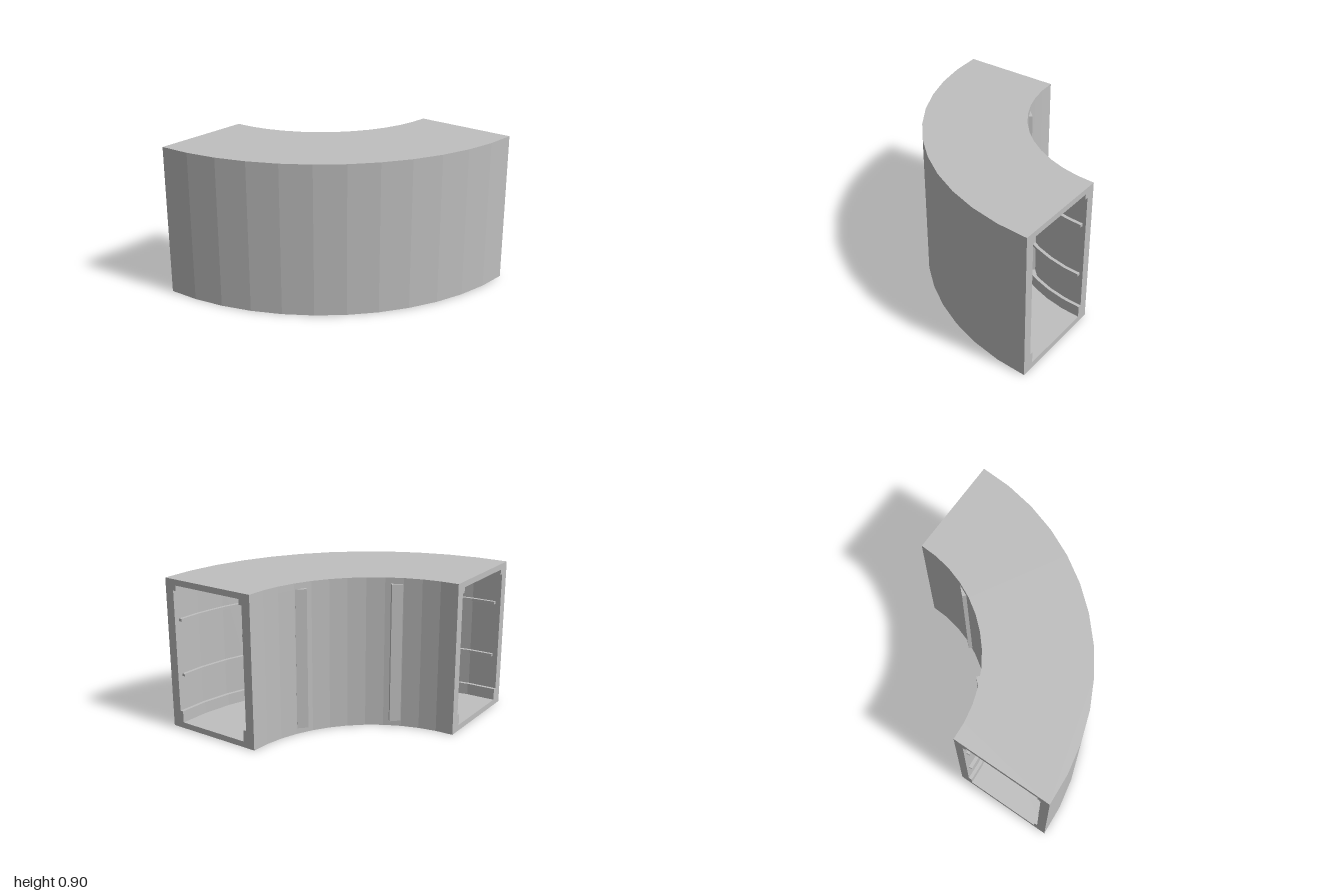
import * as THREE from 'three';

const CZ = -0.995;          // centre of the bend in z
const HALF = Math.PI / 4;   // half of the 90 degree sweep
const STEPS = 12;

const grey = new THREE.MeshStandardMaterial({ color: 0xbfbfbf, flatShading: true });
grey.name = 'plain grey';

// Plan outline (x, z) extruded upward from y0 to y1
function slab(name, pts, y0, y1) {
  const shape = new THREE.Shape(pts.map(([x, z]) => new THREE.Vector2(x, -z)));
  const geo = new THREE.ExtrudeGeometry(shape, { depth: y1 - y0, bevelEnabled: false });
  geo.rotateX(-Math.PI / 2).translate(0, y0, 0);
  const mesh = new THREE.Mesh(geo, grey);
  mesh.name = name;
  return mesh;
}

// Points along an arc about the bend centre, from -x to +x
function arc(r, inset = 0) {
  const pts = [];
  for (let i = 0; i <= STEPS; i++) {
    const a = THREE.MathUtils.clamp(-HALF + (2 * HALF * i) / STEPS, -HALF + inset, HALF - inset);
    pts.push([r * Math.sin(a), CZ + r * Math.cos(a)]);
  }
  return pts;
}

const band = (name, r0, r1, y0, y1, inset = 0) =>
  slab(name, [...arc(r0, inset), ...arc(r1, inset).reverse()], y0, y1);

export function createModel() {
  const group = new THREE.Group();
  group.name = 'curvedDuct';
  const R0 = 0.807, R1 = 1.414, WALL = 0.055, STEP = 0.02;
  const a = R0 + WALL, b = R1 - WALL;

  // Floor and ceiling
  group.add(band('floor', R0, R1, 0, 0.035));
  group.add(band('ceiling', R0, R1, 0.865, 0.9));

  // Thicker wall strips along the floor and ceiling
  for (const [label, y0, y1] of [['lower', 0.035, 0.105], ['upper', 0.833, 0.865]]) {
    group.add(band(label + 'InnerWall', R0, a + STEP, y0, y1));
    group.add(band(label + 'OuterWall', b - STEP, R1, y0, y1));
  }

  // Main walls; the inner one has two recesses on its duct side
  group.add(band('outerWall', b, R1, 0.105, 0.833));
  const face = arc(a);
  const notch = [[0.25, -0.172], [0.25, -0.192], [0.307, -0.192]];
  const inside = face.filter(([x]) => x < -0.31);
  inside.push(...notch.map(([x, z]) => [-x, z]).reverse());
  inside.push(...face.filter(([x]) => Math.abs(x) < 0.245), ...notch);
  inside.push(...face.filter(([x]) => x > 0.31));
  group.add(slab('innerWall', [...arc(R0), ...inside.reverse()], 0.105, 0.833));

  // Horizontal ribs on both walls, ending just short of the openings
  const inset = 0.023;
  for (const [y0, y1] of [[0.313, 0.329], [0.645, 0.662]]) {
    group.add(band('innerRib', a - 0.002, a + STEP, y0, y1, inset));
    group.add(band('outerRib', b - STEP, b + 0.002, y0, y1, inset));
  }

  // Shallow ribs under the ceiling
  for (const [r0, r1] of [[0.934, 0.95], [0.98, 0.997], [1.225, 1.241], [1.257, 1.275]]) {
    group.add(band('ceilingRib', r0, r1, 0.857, 0.866, inset));
  }

  // Vertical lugs on the concave outside face
  for (const s of [-1, 1]) {
    const pts = [[0.24, -0.22], [0.305, -0.235], [0.305, -0.25], [0.24, -0.25]];
    group.add(slab('outsideLug', pts.map(([x, z]) => [s * x, z]), 0.035, 0.865));
  }
  return group;
}
